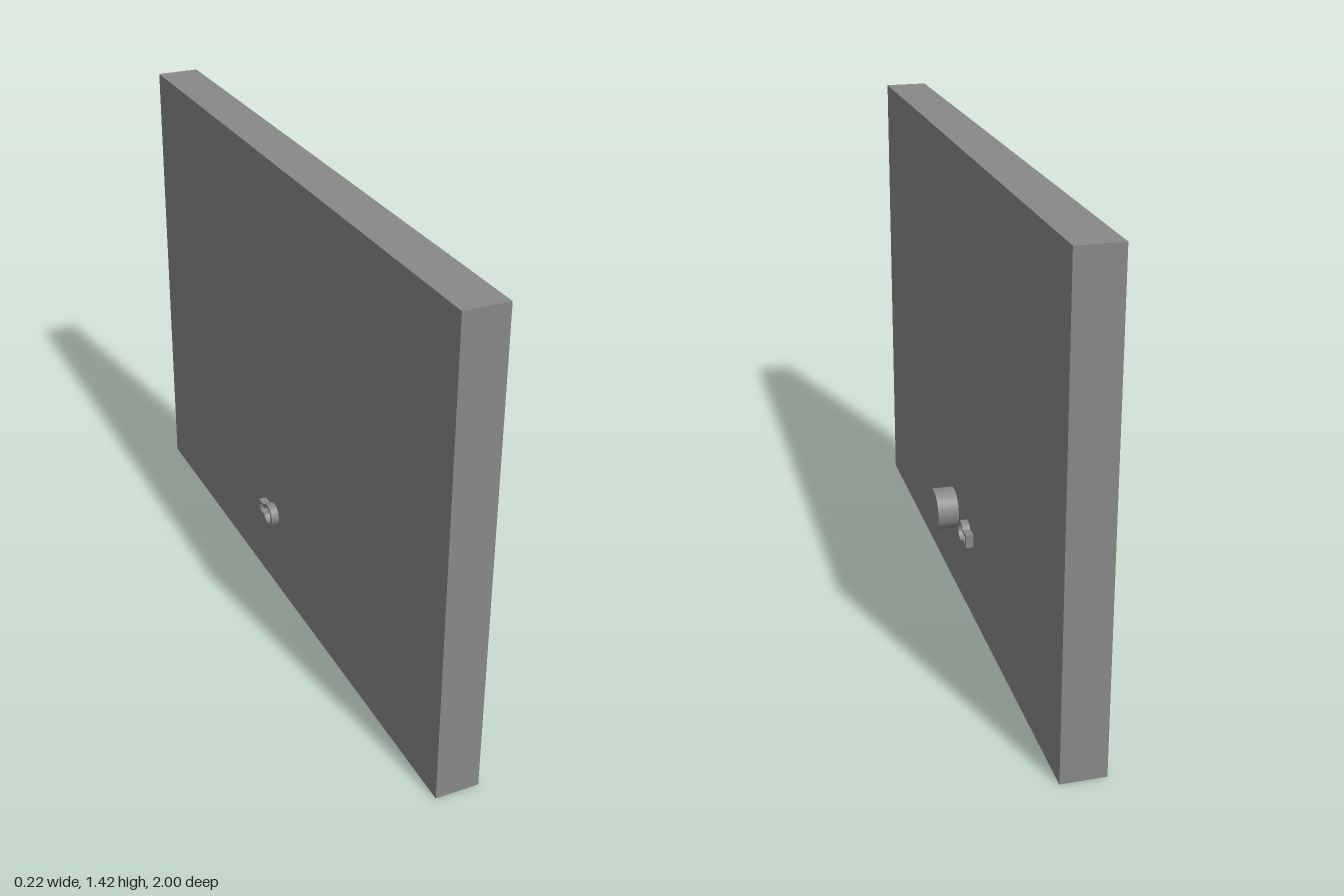
import * as THREE from 'three';
import { toCreasedNormals } from 'three/addons/utils/BufferGeometryUtils.js';

const HEIGHT = 1.42, BACK = -0.085, FACE = 0.044; // panel height and its two x faces
const LOCK = { u: 0.076, y: 0.26 }; // keyhole centre, u = -z

// Keyhole outline: a round eye with a straight slot towards +u
function keyhole(Type, r, half, end) {
  const a = Math.asin(half / r);
  const path = new Type();
  path.absarc(LOCK.u, LOCK.y, r, a, Math.PI * 2 - a, false);
  path.lineTo(end, LOCK.y - half);
  path.lineTo(end, LOCK.y + half);
  path.closePath();
  return path;
}

// Extrude a (u, y) shape between two x positions
function extrudeX(shape, x0, x1) {
  let geo = new THREE.ExtrudeGeometry(shape, { depth: x1 - x0, bevelEnabled: false, curveSegments: 32 });
  geo = toCreasedNormals(geo, Math.PI / 6);
  geo.rotateY(Math.PI / 2);
  geo.translate(x0, 0, 0);
  return geo;
}

export function createModel() {
  const group = new THREE.Group();
  const material = new THREE.MeshStandardMaterial({ color: 0x888888 });
  const add = (name, geo) => {
    const mesh = new THREE.Mesh(geo, material);
    mesh.name = name;
    group.add(mesh);
    return mesh;
  };

  // Door panel, cut through for the lock
  const panel = new THREE.Shape();
  panel.moveTo(-1, 0).lineTo(1, 0).lineTo(1, HEIGHT).lineTo(-1, HEIGHT).closePath();
  panel.holes.push(keyhole(THREE.Path, 0.036, 0.021, 0.143));
  add('doorPanel', extrudeX(panel, BACK, FACE));

  // Keyhole collar, standing proud on both faces
  const collar = keyhole(THREE.Shape, 0.036, 0.021, 0.143);
  collar.holes.push(keyhole(THREE.Path, 0.026, 0.012, 0.132));
  add('keyholeCollar', extrudeX(collar, -0.109, 0.067));

  // Round knob on one face only
  const knob = new THREE.CylinderGeometry(0.064, 0.064, 0.065, 48);
  knob.rotateZ(-Math.PI / 2);
  add('knob', knob).position.set(FACE + 0.0325, 0.26, 0.097);

  return group;
}
